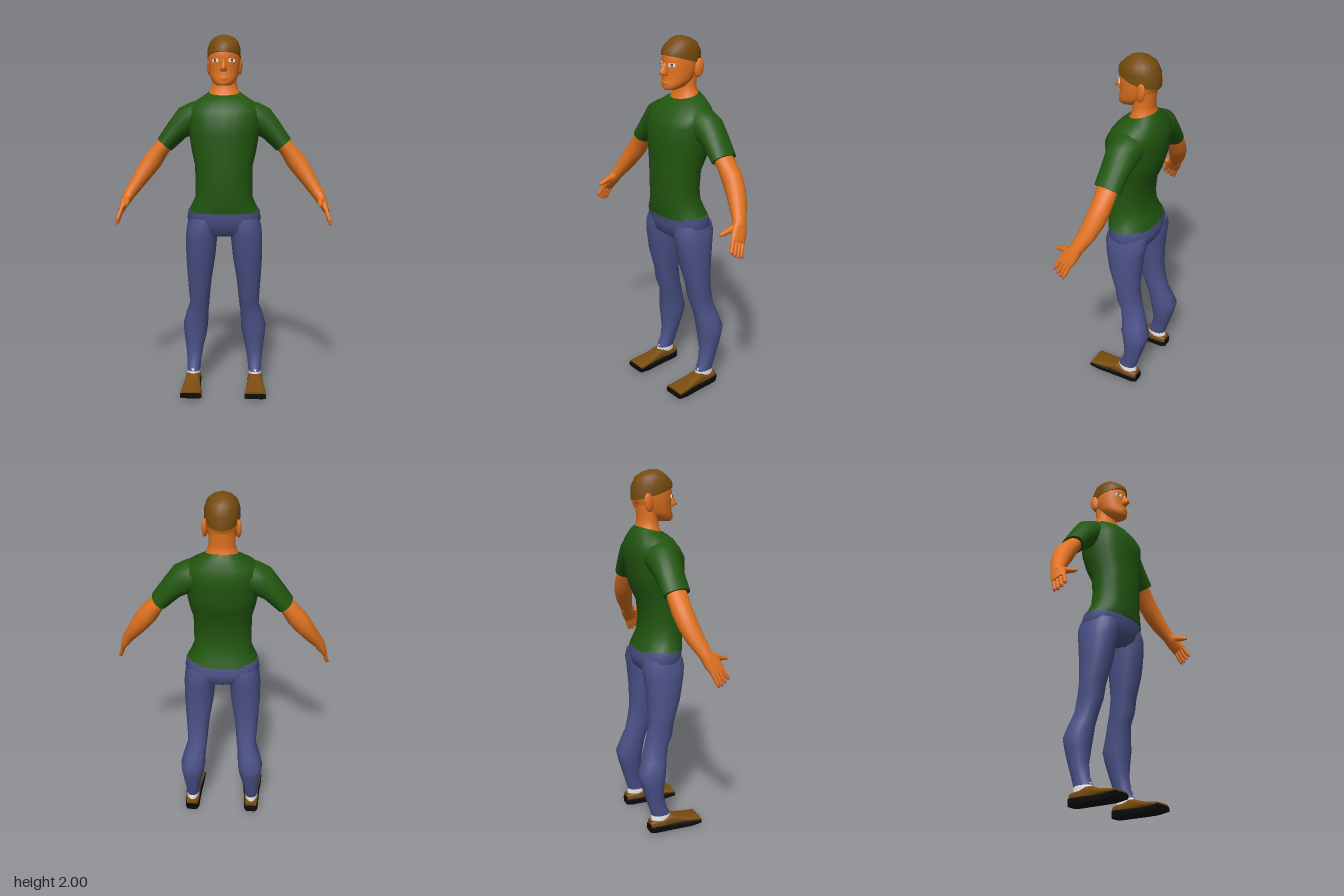
import * as THREE from 'three';

const mat = (name, color) => Object.assign(new THREE.MeshStandardMaterial({ color }), { name });
const N = 20;
const V = (x, y, z) => new THREE.Vector3(x, y, z);

// Superelliptic ring around c, spanned by u and v; p above 2 is squarer
function ring(c, u, v, ru, rv, p = 2) {
  const f = (t) => Math.sign(t) * Math.pow(Math.abs(t), 2 / p);
  return Array.from({ length: N }, (_, i) => {
    const a = (i / N) * Math.PI * 2;
    return c.clone().addScaledVector(u, ru * f(Math.cos(a))).addScaledVector(v, rv * f(Math.sin(a)));
  });
}

// Skin over rings, with flat end caps on their own vertices
function loft(name, material, rings) {
  const pos = [], idx = [];
  const add = (pts) => { const s = pos.length / 3; pts.forEach((q) => pos.push(q.x, q.y, q.z)); return s; };
  rings.forEach(add);
  for (let i = 0; i < rings.length - 1; i++) {
    for (let j = 0; j < N; j++) {
      const k = (j + 1) % N, a = i * N + j, b = i * N + k;
      idx.push(a, b, b + N, a, b + N, a + N);
    }
  }
  [rings[0], rings[rings.length - 1]].forEach((r, end) => {
    const s = add(r);
    const c = add([r.reduce((m, q) => m.add(q), V(0, 0, 0)).divideScalar(N)]);
    for (let j = 0; j < N; j++) {
      const a = s + j, b = s + ((j + 1) % N);
      if (end) idx.push(c, a, b); else idx.push(c, b, a);
    }
  });
  const g = new THREE.BufferGeometry();
  g.setAttribute('position', new THREE.Float32BufferAttribute(pos, 3));
  g.setIndex(idx);
  g.computeVertexNormals();
  const m = new THREE.Mesh(g, material);
  m.name = name;
  return m;
}

// Upright body: rows of [y, x, halfWidth, zFront, zBack, tilt], bottom to top
const upright = (name, material, rows, side = 1, p = 2) => loft(name, material, rows.map(([y, x, hw, zf, zb, tilt = 0]) => {
  const r = ring(V(x * side, y, (zf + zb) / 2), V(0, 0, 1), V(1, 0, 0), (zf - zb) / 2, hw, p);
  r.forEach((q) => { q.y += tilt * q.z; });
  return r;
}));

// Limb along a path: rows of [x, y, z, thickness, depth]
function limb(name, material, rows, side, p = 2) {
  const c = rows.map(([x, y, z]) => V(x * side, y, z));
  return loft(name, material, rows.map((r, i) => {
    const t = c[Math.min(i + 1, c.length - 1)].clone().sub(c[Math.max(i - 1, 0)]).normalize();
    const u = t.clone().cross(V(0, 0, 1)).normalize();
    return ring(c[i], u, t.clone().cross(u), r[3], r[4], p);
  }));
}

// Shoe piece along z: rows of [z, halfWidth, yBottom, yTop]
const shoe = (name, material, rows, side, p) => loft(name, material, rows.map(([z, hw, y0, y1]) =>
  ring(V(0.18 * side, (y0 + y1) / 2, z), V(1, 0, 0), V(0, 1, 0), hw, (y1 - y0) / 2, p)));

export function createModel() {
  const skin = mat('skin', 0xe07220), shirt = mat('shirt green', 0x22560f), denim = mat('denim', 0x4c5289);
  const hair = mat('hair brown', 0x754a0e), leather = mat('shoe brown', 0x7a4c10), black = mat('sole black', 0x0b0b0b);
  const white = mat('white', 0xececec), iris = mat('iris grey', 0x4a5058), nail = mat('nail pink', 0xb8506a);
  const model = new THREE.Group();
  model.name = 'standingMan';

  // Torso and hips
  model.add(upright('shirtBody', shirt, [
    [1.045, 0, 0.2, 0.125, -0.13], [1.08, 0, 0.18, 0.13, -0.118], [1.13, 0, 0.157, 0.135, -0.1],
    [1.2, 0, 0.157, 0.138, -0.09], [1.3, 0, 0.158, 0.14, -0.1], [1.38, 0, 0.177, 0.138, -0.135],
    [1.46, 0, 0.19, 0.14, -0.158], [1.55, 0, 0.2, 0.138, -0.168], [1.6, 0, 0.198, 0.11, -0.168],
    [1.64, 0, 0.172, 0.08, -0.157], [1.67, 0, 0.12, 0.05, -0.14, -0.1], [1.685, 0, 0.085, 0.03, -0.118, -0.25],
  ], 1, 2.2));
  model.add(upright('hips', denim, [
    [0.91, 0, 0.11, 0.06, -0.08], [0.94, 0, 0.17, 0.1, -0.12], [1.0, 0, 0.206, 0.114, -0.138], [1.055, 0, 0.197, 0.12, -0.124],
  ], 1, 2.3));

  // Neck, head and hair
  model.add(upright('neck', skin, [
    [1.66, 0, 0.1, 0.04, -0.125, -0.2], [1.7, 0, 0.078, 0.01, -0.112, -0.15], [1.75, 0, 0.066, 0.005, -0.105], [1.83, 0, 0.07, 0.01, -0.115],
  ]));
  model.add(upright('head', skin, [
    [1.733, 0, 0.035, 0.084, 0.01], [1.745, 0, 0.054, 0.092, -0.03], [1.765, 0, 0.067, 0.09, -0.065], [1.785, 0, 0.077, 0.084, -0.09],
    [1.83, 0, 0.084, 0.08, -0.118], [1.88, 0, 0.087, 0.086, -0.13], [1.93, 0, 0.083, 0.08, -0.128], [1.965, 0, 0.06, 0.04, -0.09],
  ]));
  model.add(upright('hair', hair, [
    [1.886, 0, 0.09, 0.09, -0.137, 0.28], [1.93, 0, 0.089, 0.085, -0.137, 0.1], [1.965, 0, 0.077, 0.06, -0.113],
    [1.988, 0, 0.052, 0.03, -0.075], [2.0, 0, 0.02, 0.005, -0.035],
  ]));
  model.add(upright('nose', skin, [
    [1.805, 0, 0.014, 0.1, 0.06], [1.815, 0, 0.02, 0.12, 0.06], [1.83, 0, 0.015, 0.116, 0.06], [1.872, 0, 0.008, 0.09, 0.06],
  ]));
  model.add(upright('lips', skin, [[1.757, 0, 0.02, 0.09, 0.06], [1.768, 0, 0.028, 0.097, 0.06], [1.779, 0, 0.02, 0.088, 0.06]]));

  for (const side of [1, -1]) {
    const s = side > 0 ? 'left' : 'right';

    // Ear and eye
    const ear = new THREE.Mesh(new THREE.SphereGeometry(1, 12, 8), skin);
    ear.name = s + 'Ear';
    ear.scale.set(0.014, 0.05, 0.028);
    ear.position.set(0.083 * side, 1.84, -0.075);
    ear.rotation.set(-0.15, -0.25 * side, 0);
    const eye = new THREE.Group();
    eye.name = s + 'Eye';
    [['eyeWhite', 0.036, 0.018, 0, white], ['eyeIris', 0.012, 0.013, 0.002, iris]].forEach(([n, w, h, z, m]) => {
      const plate = new THREE.Mesh(new THREE.BoxGeometry(w, h, 0.008), m);
      plate.name = n;
      plate.position.z = z;
      eye.add(plate);
    });
    eye.position.set(0.042 * side, 1.863, 0.071);
    eye.rotation.y = 0.5 * side;
    model.add(ear, eye);

    // Sleeve and forearm
    model.add(limb(s + 'Sleeve', shirt, [
      [0.1, 1.57, -0.035, 0.085, 0.095], [0.16, 1.56, -0.038, 0.086, 0.09], [0.205, 1.54, -0.04, 0.083, 0.085],
      [0.258, 1.493, -0.038, 0.064, 0.078], [0.33, 1.41, -0.032, 0.051, 0.074],
    ], side));
    model.add(limb(s + 'Forearm', skin, [
      [0.31, 1.43, -0.032, 0.04, 0.055], [0.35, 1.385, -0.033, 0.045, 0.056], [0.395, 1.325, -0.03, 0.054, 0.054],
      [0.435, 1.27, -0.018, 0.05, 0.054], [0.475, 1.21, 0.002, 0.041, 0.048], [0.522, 1.14, 0.035, 0.032, 0.036],
      [0.535, 1.115, 0.05, 0.028, 0.04],
    ], side));

    // Hand with four fingers and a thumb
    model.add(limb(s + 'Palm', skin, [
      [0.522, 1.14, 0.035, 0.03, 0.036], [0.543, 1.1, 0.06, 0.024, 0.045], [0.562, 1.058, 0.083, 0.015, 0.042],
    ], side, 2.4));
    for (let i = 0; i < 4; i++) {
      const k = i - 1.5, len = 1 - 0.08 * Math.abs(k - 0.2);
      const at = (t, d) => [0.56 + 0.022 * t + 0.18 * k * d, 1.065 - 0.08 * t * len - 0.43 * k * d, 0.08 + 0.03 * t - 0.88 * k * d];
      model.add(limb(s + 'Finger', skin, [
        [...at(0, 0.02), 0.011, 0.011], [...at(0.55, 0.021), 0.011, 0.011], [...at(0.88, 0.022), 0.009, 0.009], [...at(1, 0.022), 0.004, 0.004],
      ], side));
      const tip = new THREE.Mesh(new THREE.BoxGeometry(0.006, 0.012, 0.01), nail);
      tip.name = s + 'Fingernail';
      const [x, y, z] = at(0.92, 0.022);
      tip.position.set((x + 0.006) * side, y, z);
      model.add(tip);
    }
    model.add(limb(s + 'Thumb', skin, [
      [0.535, 1.125, 0.055, 0.018, 0.02], [0.526, 1.118, 0.1, 0.017, 0.017], [0.522, 1.108, 0.135, 0.013, 0.013], [0.52, 1.1, 0.163, 0.006, 0.006],
    ], side));

    // Trouser leg
    model.add(upright(s + 'Leg', denim, [
      [0.1, 0.178, 0.037, 0.005, -0.105], [0.15, 0.176, 0.04, -0.02, -0.12], [0.22, 0.174, 0.05, -0.034, -0.142],
      [0.3, 0.17, 0.065, -0.028, -0.165], [0.36, 0.168, 0.072, -0.02, -0.178], [0.43, 0.158, 0.064, -0.012, -0.155],
      [0.5, 0.142, 0.056, 0.004, -0.132], [0.57, 0.141, 0.061, 0.03, -0.115], [0.65, 0.139, 0.068, 0.04, -0.102],
      [0.78, 0.132, 0.082, 0.08, -0.107], [0.9, 0.126, 0.088, 0.1, -0.12], [0.96, 0.118, 0.09, 0.108, -0.132], [1.01, 0.108, 0.088, 0.1, -0.125],
    ], side, 2.2));

    // Sock and shoe
    model.add(upright(s + 'Sock', white, [[0.05, 0.18, 0.036, 0.01, -0.11], [0.085, 0.179, 0.036, 0.012, -0.108], [0.115, 0.178, 0.033, -0.002, -0.1]], side));
    model.add(shoe(s + 'ShoeUpper', leather, [
      [-0.118, 0.03, 0.025, 0.068], [-0.1, 0.038, 0.025, 0.073], [-0.05, 0.042, 0.025, 0.078], [-0.01, 0.042, 0.025, 0.092],
      [0.02, 0.042, 0.025, 0.09], [0.05, 0.045, 0.03, 0.077], [0.1, 0.052, 0.03, 0.066], [0.178, 0.059, 0.03, 0.052],
    ], side, 3));
    model.add(shoe(s + 'ShoeSole', black, [
      [-0.122, 0.032, 0.002, 0.045], [-0.1, 0.042, 0, 0.045], [-0.03, 0.045, 0, 0.042], [0.05, 0.049, 0, 0.036],
      [0.12, 0.057, 0.002, 0.036], [0.182, 0.061, 0.012, 0.042],
    ], side, 6));
  }
  return model;
}
